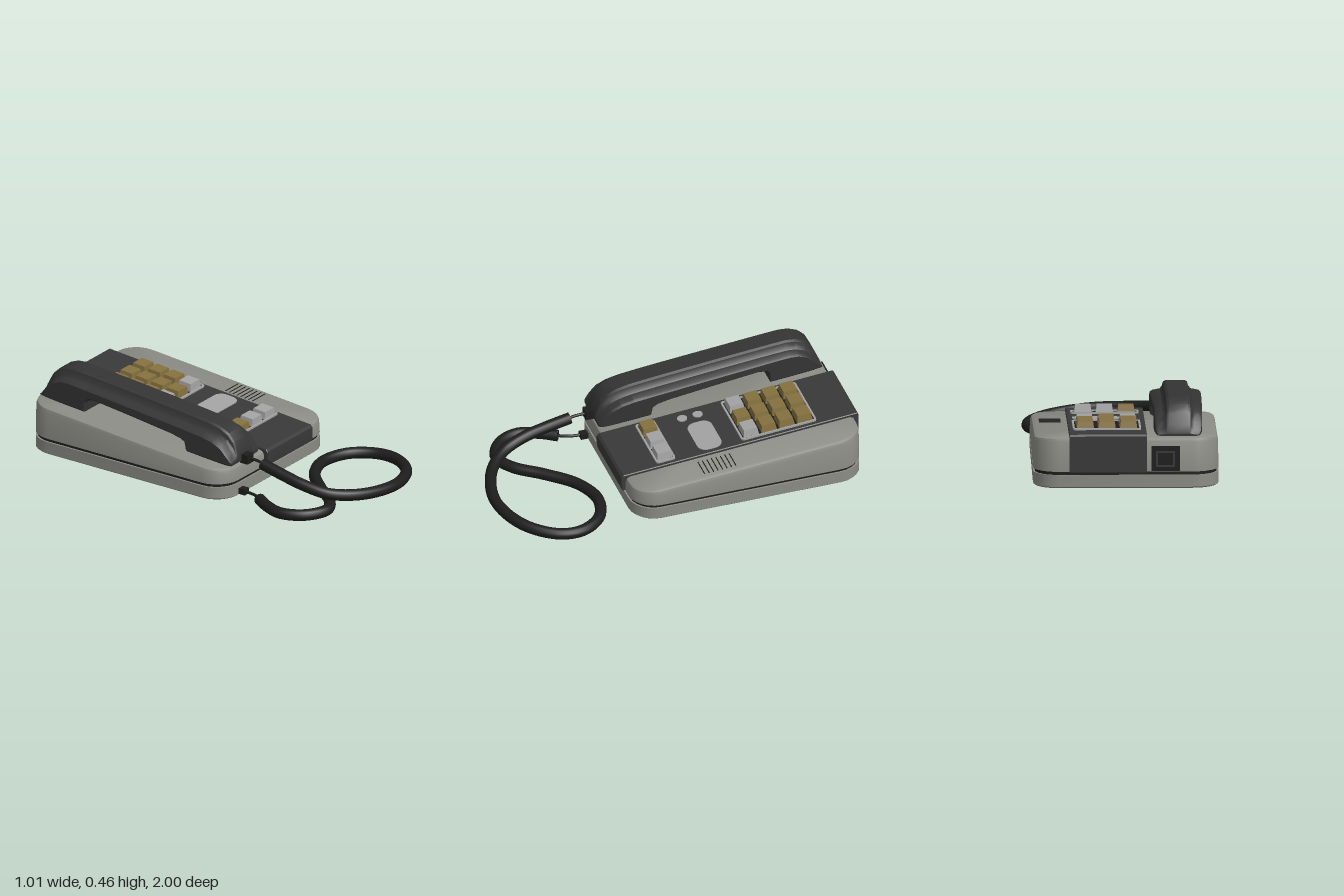
import * as THREE from 'three';
import { toCreasedNormals } from 'three/addons/utils/BufferGeometryUtils.js';

const mat = (name, color) => Object.assign(new THREE.MeshStandardMaterial({ color }), { name });
const V = (x, y, z) => new THREE.Vector3(x, y, z);
const SLOPE = 0.083;
const topY = z => 0.18 + (0.3 - z) * SLOPE; // sloped top of the housing

// Skin a list of equal-length closed rings and cap both ends.
function loft(rings, crease = 0.6) {
  const pos = [], n = rings[0].length;
  const tri = (...p) => p.forEach(v => pos.push(v.x, v.y, v.z));
  for (let i = 0; i < rings.length - 1; i++) {
    for (let j = 0; j < n; j++) {
      const k = (j + 1) % n, a = rings[i], b = rings[i + 1];
      tri(a[j], a[k], b[k]);
      tri(a[j], b[k], b[j]);
    }
  }
  const cap = (r, end) => {
    const c = r.reduce((s, p) => s.add(p), V(0, 0, 0)).divideScalar(n);
    r.forEach((p, j) => end ? tri(c, p, r[(j + 1) % n]) : tri(c, r[(j + 1) % n], p));
  };
  cap(rings[0], false);
  cap(rings[rings.length - 1], true);
  const g = new THREE.BufferGeometry();
  g.setAttribute('position', new THREE.Float32BufferAttribute(pos, 3));
  return toCreasedNormals(g, crease);
}

// Counter-clockwise rounded rectangle outline.
function roundRect(hx, hy, r, cx = 0, cy = 0, seg = 6) {
  const pts = [];
  for (let q = 0; q < 4; q++) {
    const sx = q === 0 || q === 3 ? 1 : -1, sy = q < 2 ? 1 : -1;
    for (let i = 0; i <= seg; i++) {
      const a = (q + i / seg) * Math.PI / 2;
      pts.push(new THREE.Vector2(cx + sx * (hx - r) + r * Math.cos(a), cy + sy * (hy - r) + r * Math.sin(a)));
    }
  }
  return pts;
}

// Horizontal plate from an outline, with an optional hole.
function plate(outline, height, hole) {
  const s = new THREE.Shape(outline);
  if (hole) s.holes.push(new THREE.Path(hole));
  return new THREE.ExtrudeGeometry(s, { depth: height, bevelEnabled: false }).rotateX(-Math.PI / 2);
}

// One level of the housing outline.
const level = (inset, yOf) => roundRect(0.49 - inset, 0.64 - inset, 0.14 - inset, -0.02, 0.34)
  .map(p => V(p.x, yOf(-p.y), -p.y));

export function createModel() {
  const root = new THREE.Group();
  root.name = 'deskTelephone';
  const M = {
    shell: mat('warmGrey', 0x8b8c85),
    dark: mat('charcoal', 0x393939),
    handset: mat('handsetGrey', 0x343435),
    black: mat('cordBlack', 0x1d1d1d),
    gold: mat('ochreKey', 0x85713f),
    light: mat('lightGrey', 0xa2a3a2),
  };
  const add = (name, geo, material, parent = root, x = 0, y = 0, z = 0) => {
    const m = new THREE.Mesh(geo, material);
    m.name = name;
    m.position.set(x, y, z);
    parent.add(m);
    return m;
  };

  // Housing: base tray, dark seam, sloped upper shell
  add('baseTray', loft([level(0.008, () => 0.011), level(0, () => 0.018), level(0, () => 0.082)]), M.shell);
  add('seam', loft([level(0.01, () => 0.08), level(0.01, () => 0.104)]), M.black);
  add('upperShell', loft([
    level(0, () => 0.1),
    level(0.003, z => topY(z) - 0.026),
    level(0.009, z => topY(z) - 0.009),
    level(0.026, topY),
  ]), M.shell);

  // Dark band wrapping the front, top and back
  const bandTop = z => topY(z) + 0.015;
  const side = (x, inset) => [
    [0.315, 0.1], [0.32, 0.13], [0.32, bandTop(0.32) - 0.012], [0.308, bandTop(0.308)],
    [-0.992, bandTop(-0.992)], [-1, bandTop(-1) - 0.01], [-1, 0.1],
  ].map(([z, y]) => V(x, y - (y > 0.15 ? inset : 0), z));
  add('controlBand', loft([side(-0.13, 0.004), side(-0.126, 0), side(0.276, 0), side(0.28, 0.004)].reverse()
    .map(r => r.reverse()).reverse().map(r => r.reverse()), 0.4), M.dark).material.side = THREE.DoubleSide;

  // Tilted deck that carries all the controls
  const deck = new THREE.Group();
  deck.name = 'controlDeck';
  deck.position.y = bandTop(0);
  deck.rotation.x = Math.atan(SLOPE);
  root.add(deck);

  // Key with a tapered top
  const keyGeo = new THREE.BoxGeometry(0.094, 0.042, 0.086).translate(0, 0.021, 0);
  const kp = keyGeo.attributes.position;
  for (let i = 0; i < kp.count; i++) {
    if (kp.getY(i) > 0.02) kp.setXYZ(i, kp.getX(i) * 0.86, kp.getY(i), kp.getZ(i) * 0.86);
  }
  keyGeo.computeVertexNormals();

  // Key blocks: G is ochre, W is light
  const keyBlock = (name, z, hz, rows) => {
    const g = new THREE.Group();
    g.name = name;
    g.position.set(0.077, 0, z);
    deck.add(g);
    add('keyFrame', plate(roundRect(0.18, hz, 0.015), 0.01, roundRect(0.17, hz - 0.01, 0.01)), M.light, g);
    add('keyWell', plate(roundRect(0.17, hz - 0.01, 0.01), 0.003), M.black, g);
    rows.forEach((row, r) => [...row].forEach((c, i) => add('key', keyGeo, c === 'G' ? M.gold : M.light, g,
      (i - 1) * 0.114, 0.002, (r - (rows.length - 1) / 2) * 0.1)));
  };
  keyBlock('dialKeys', -0.57, 0.21, ['GGG', 'GGG', 'GGG', 'WGW']);
  keyBlock('functionKeys', 0.063, 0.054, ['GWW']);

  // Label plate, indicator discs and speaker slits
  add('labelPlate', plate(roundRect(0.125, 0.067, 0.05), 0.004), M.light, deck, 0.128, 0, -0.195);
  for (const z of [-0.22, -0.133]) {
    add('indicator', new THREE.CylinderGeometry(0.027, 0.027, 0.006, 20), M.light, deck, -0.06, 0.002, z);
  }
  for (let i = 0; i < 8; i++) {
    add('speakerSlit', new THREE.BoxGeometry(0.115, 0.003, 0.005), M.black, deck, 0.37, -0.0145, -0.268 + i * 0.025);
  }

  // Socket on the back
  add('socketBlock', new THREE.BoxGeometry(0.15, 0.13, 0.03), M.black, root, -0.228, 0.172, -0.982);
  add('socketRim', new THREE.BoxGeometry(0.1, 0.085, 0.004), M.dark, root, -0.228, 0.172, -0.998);
  add('socketOpening', new THREE.BoxGeometry(0.08, 0.065, 0.003), M.black, root, -0.228, 0.172, -0.9995);

  // Handset: ridged cross-sections [z, top, bottom, halfWidth]
  const section = ([z, top, bot, w]) => {
    const k = Math.min(1, (top - bot) / 0.1);
    const half = [[0.05, top], [0.063, top - 0.008 * k], [0.069, top - 0.03 * k], [0.082, top - 0.045 * k],
      [w - 0.012, top - 0.053 * k], [w, top - 0.063 * k], [w, bot + 0.012 * k], [w - 0.012, bot]];
    const right = half.map(([x, y]) => V(-0.297 + x, y, z));
    const left = half.map(([x, y]) => V(-0.297 - x, y, z)).reverse();
    return [...right, ...left];
  };
  add('handset', loft([
    [0.292, 0.23, 0.195, 0.118], [0.285, 0.255, 0.19, 0.127], [0.262, 0.305, 0.19, 0.132], [0.225, 0.343, 0.192, 0.134],
    [0.17, 0.368, 0.196, 0.134], [0.1, 0.383, 0.201, 0.134], [0.005, 0.394, 0.209, 0.134], [-0.005, 0.395, 0.255, 0.134],
    [-0.04, 0.399, 0.273, 0.134], [-0.1, 0.405, 0.286, 0.134], [-0.35, 0.43, 0.317, 0.132], [-0.6, 0.453, 0.345, 0.129],
    [-0.645, 0.457, 0.338, 0.128], [-0.66, 0.458, 0.318, 0.128], [-0.665, 0.459, 0.265, 0.128], [-0.77, 0.467, 0.272, 0.126],
    [-0.82, 0.463, 0.276, 0.125], [-0.87, 0.443, 0.28, 0.124], [-0.91, 0.405, 0.283, 0.122], [-0.94, 0.345, 0.286, 0.117],
    [-0.958, 0.302, 0.288, 0.108],
  ].map(section), 0.5), M.handset);

  // Cord: thick looped sleeve with thin ends and plugs
  const path = pts => new THREE.CatmullRomCurve3(pts.map(p => V(...p)));
  const sleeve = path([
    [-0.302, 0.197, 0.41], [-0.303, 0.168, 0.54], [-0.295, 0.138, 0.67], [-0.25, 0.105, 0.8], [-0.11, 0.082, 0.915],
    [0.12, 0.066, 0.965], [0.34, 0.05, 0.885], [0.46, 0.038, 0.73], [0.465, 0.034, 0.6], [0.38, 0.034, 0.48],
    [0.22, 0.034, 0.433], [0.06, 0.034, 0.49], [-0.08, 0.034, 0.63], [-0.19, 0.034, 0.765], [-0.3, 0.034, 0.822],
    [-0.42, 0.034, 0.765], [-0.472, 0.034, 0.65], [-0.435, 0.034, 0.53], [-0.385, 0.034, 0.45],
  ]);
  add('cordSleeve', new THREE.TubeGeometry(sleeve, 160, 0.031, 14), M.black);
  for (const t of [0, 1]) {
    const p = sleeve.getPointAt(t), d = sleeve.getTangentAt(t).multiplyScalar(t ? 1 : -1);
    const cap = add('cordEnd', new THREE.CircleGeometry(0.031, 14), M.black, root, p.x, p.y, p.z);
    cap.lookAt(p.clone().add(d));
  }
  const wire = pts => add('cordWire', new THREE.TubeGeometry(path(pts), 12, 0.008, 8), M.black);
  wire([[-0.302, 0.197, 0.42], [-0.3, 0.207, 0.37], [-0.3, 0.207, 0.28]]);
  wire([[-0.39, 0.034, 0.46], [-0.36, 0.036, 0.4], [-0.347, 0.036, 0.29]]);
  add('handsetPlug', new THREE.BoxGeometry(0.055, 0.05, 0.05), M.black, root, -0.302, 0.207, 0.307);
  add('basePlug', new THREE.BoxGeometry(0.04, 0.032, 0.045), M.black, root, -0.347, 0.036, 0.318);
  return root;
}
